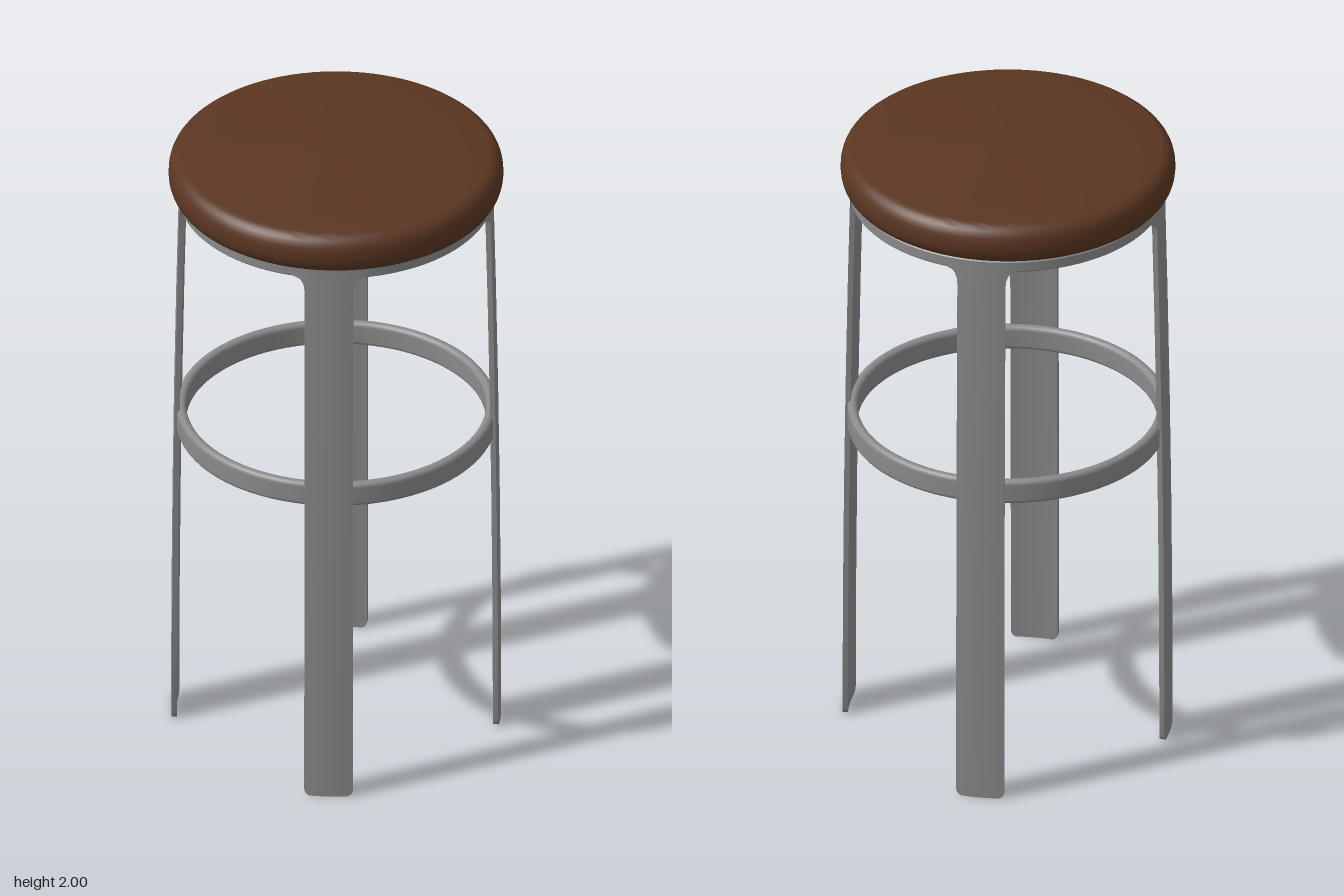
import * as THREE from 'three';
import { toCreasedNormals } from 'three/addons/utils/BufferGeometryUtils.js';

const V = (x, y) => new THREE.Vector2(x, y);

// Leg outline from floor to apron: [height, half width]
const LEG_ROWS = [
  [0, 0.056], [0.003, 0.063], [0.009, 0.069], [0.02, 0.0725],
  [0.4, 0.0725], [0.8, 0.0725], [1.15, 0.0725], [1.5, 0.0725],
  [1.76, 0.0725], [1.78, 0.0745], [1.795, 0.08], [1.805, 0.088],
  [1.811, 0.104], [1.83, 0.104],
];
const LEG_THICKNESS = 0.016;

// Flat strip, shaped by the outline and wrapped round the vertical axis
function legGeometry() {
  const rows = LEG_ROWS.length - 1;
  const geo = new THREE.BoxGeometry(1, 1, 1, 8, rows, 1);
  const p = geo.attributes.position;
  for (let i = 0; i < p.count; i++) {
    const [y, half] = LEG_ROWS[Math.round((p.getY(i) + 0.5) * rows)];
    const mid = 0.488 - 0.0235 * Math.pow(y / 1.83, 2);
    const r = mid + p.getZ(i) * LEG_THICKNESS;
    const a = (p.getX(i) * 2 * half) / mid;
    p.setXYZ(i, Math.sin(a) * r, y, Math.cos(a) * r);
  }
  return toCreasedNormals(geo, 0.7);
}

// Closed rounded-rectangle cross-section, counter-clockwise, spun into a hoop
function hoopGeometry(inner, outer, y0, y1, radius) {
  const pts = [];
  const corners = [[outer, y0, -1, 1], [outer, y1, -1, -1], [inner, y1, 1, -1], [inner, y0, 1, 1]];
  corners.forEach(([x, y, sx, sy], c) => {
    for (let k = 0; k <= 4; k++) {
      const a = ((c - 1) + k / 4) * Math.PI / 2;
      pts.push(V(x + sx * radius + Math.cos(a) * radius, y + sy * radius + Math.sin(a) * radius));
    }
  });
  pts.push(pts[0].clone());
  return new THREE.LatheGeometry(pts, 96);
}

export function createModel() {
  const brown = new THREE.MeshStandardMaterial({ color: 0x5a3622 });
  brown.name = 'brown leather';
  const grey = new THREE.MeshStandardMaterial({ color: 0x8a8a8a });
  grey.name = 'grey metal';

  const model = new THREE.Group();
  model.name = 'stool';
  const add = (parent, name, geo, mat) => {
    const mesh = new THREE.Mesh(geo, mat);
    mesh.name = name;
    parent.add(mesh);
    return mesh;
  };

  // Cushion: flat base, rounded rim, shallow raised top
  const rim = [V(0, 1.842), V(0.455, 1.842)];
  for (let k = 0; k <= 14; k++) {
    const a = -Math.PI / 2 + (k / 14) * Math.PI * 0.97;
    const lift = Math.sin(a);
    rim.push(V(0.455 + Math.cos(a) * 0.048, 1.906 + Math.sign(lift) * Math.pow(Math.abs(lift), 0.85) * 0.064));
  }
  rim.push(V(0.36, 1.977), V(0.24, 1.986), V(0.12, 1.994), V(0.04, 1.999), V(0, 2));
  add(model, 'seatCushion', toCreasedNormals(new THREE.LatheGeometry(rim, 96), 0.8), brown);

  // Metal frame sits very slightly off the cushion's centre
  const frame = new THREE.Group();
  frame.name = 'frame';
  frame.position.set(0.005, 0, -0.005);
  model.add(frame);

  // Seat pan with its apron edge
  const pan = [V(0, 1.814), V(0.455, 1.814), V(0.457, 1.81), V(0.469, 1.81), V(0.4725, 1.814),
    V(0.4725, 1.844), V(0.468, 1.848), V(0, 1.848)];
  add(frame, 'seatPan', toCreasedNormals(new THREE.LatheGeometry(pan, 96), 0.6), grey);

  // Footrest hoop
  add(frame, 'footrestRing', hoopGeometry(0.45, 0.481, 1.01, 1.09, 0.0145), grey);

  // Four legs on the diagonals
  const leg = legGeometry();
  ['frontLeftLeg', 'backLeftLeg', 'backRightLeg', 'frontRightLeg'].forEach((name, i) => {
    add(frame, name, leg, grey).rotation.y = Math.PI / 4 + i * Math.PI / 2;
  });

  return model;
}
